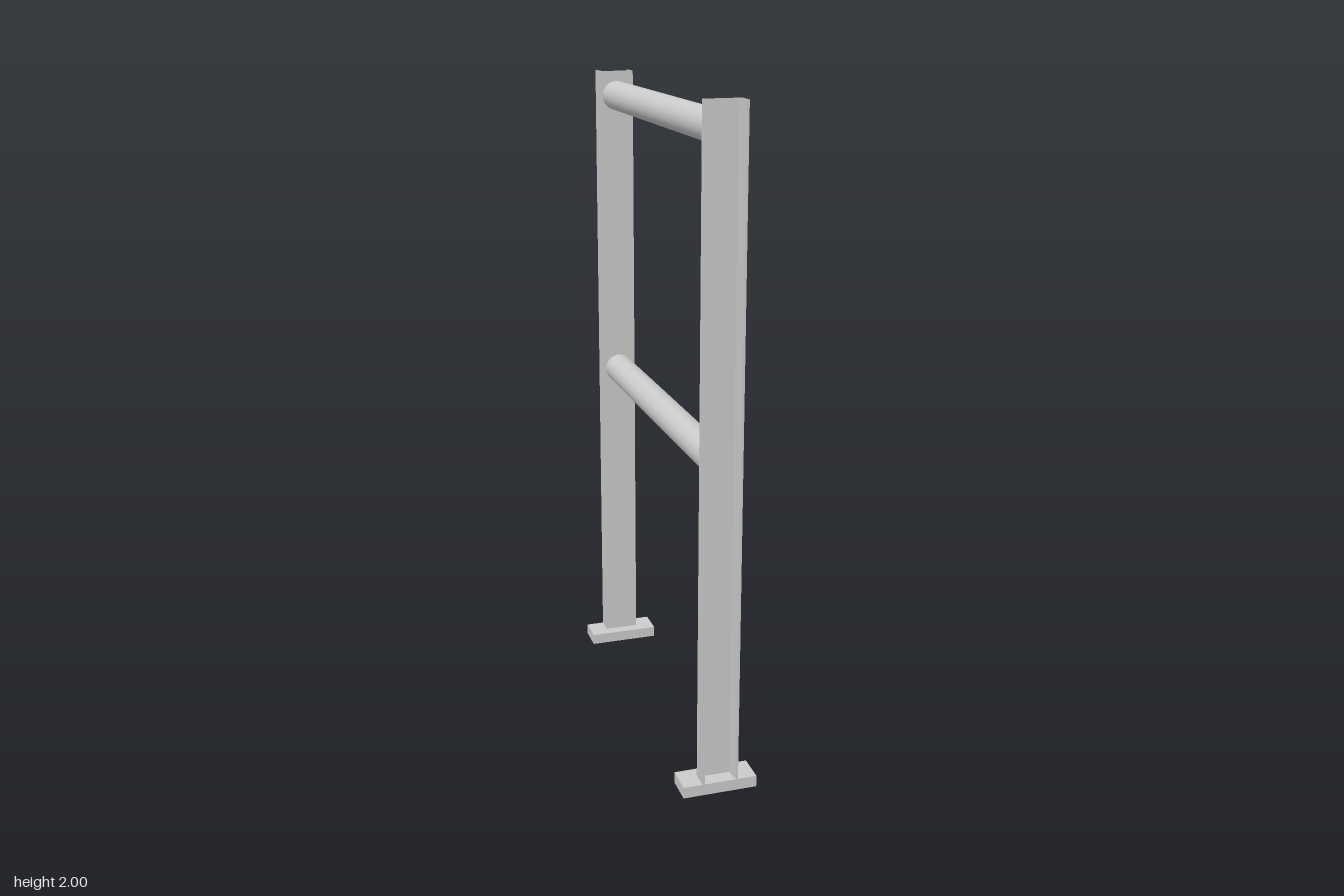
import * as THREE from 'three';

const material = new THREE.MeshStandardMaterial({ color: 0xcccccc });
const thin = new THREE.MeshStandardMaterial({ color: 0xcccccc, side: THREE.DoubleSide });

const PLATE_H = 0.035, TOP = 2, OUTER = 0.57, INNER = 0.515;

// Open-ended prism: sweeps a closed [x, z] section (counter-clockwise in x, z) from y0 to y1
function prismWall(section, y0, y1) {
  const pos = [];
  section.forEach(([ax, az], i) => {
    const [bx, bz] = section[(i + 1) % section.length];
    pos.push(ax, y0, az, bx, y1, bz, bx, y0, bz);
    pos.push(ax, y0, az, ax, y1, az, bx, y1, bz);
  });
  const geo = new THREE.BufferGeometry();
  geo.setAttribute('position', new THREE.Float32BufferAttribute(pos, 3));
  geo.computeVertexNormals();
  return geo;
}

// Channel section: flat web on the inside, tapered flanges pointing outwards
const channel = [
  [-0.055, INNER], [0.055, INNER], [0.055, OUTER], [0.048, OUTER],
  [0.043, INNER + 0.01], [-0.043, INNER + 0.01], [-0.048, OUTER], [-0.055, OUTER],
];

export function createModel() {
  const model = new THREE.Group();
  const add = (parent, name, geo, mat = material) => {
    const mesh = new THREE.Mesh(geo, mat);
    mesh.name = name;
    parent.add(mesh);
    return mesh;
  };

  // Two uprights, each a channel post on a base plate
  for (const [name, turn] of [['frontUpright', 0], ['backUpright', Math.PI]]) {
    const upright = new THREE.Group();
    upright.name = name;
    add(upright, 'channelPost', prismWall(channel, PLATE_H, TOP), thin);
    add(upright, 'basePlate', new THREE.BoxGeometry(0.226, PLATE_H, 0.09))
      .position.set(0, PLATE_H / 2, OUTER - 0.045);
    upright.rotation.y = turn;
    model.add(upright);
  }

  // Round rails between the webs
  for (const [name, y] of [['topRail', 1.923], ['middleRail', 1.01]]) {
    const rail = add(model, name, new THREE.CylinderGeometry(0.046, 0.046, INNER * 2, 48, 1, true), thin);
    rail.rotation.x = Math.PI / 2;
    rail.position.y = y;
  }
  return model;
}
